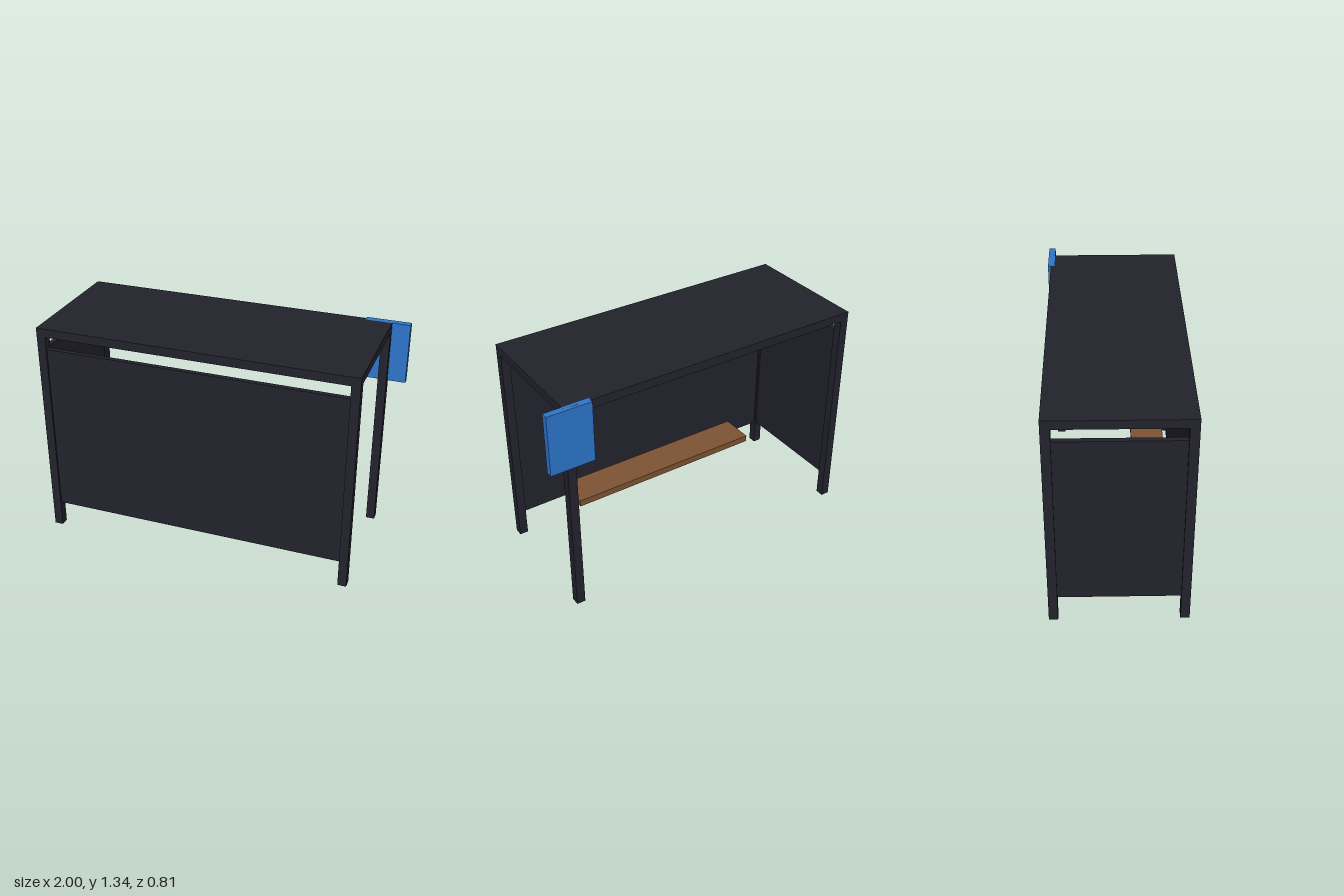
import * as THREE from 'three';

const mat = (name, color) => {
  const m = new THREE.MeshStandardMaterial({ color });
  m.name = name;
  return m;
};

export function createModel() {
  const group = new THREE.Group();
  const frame = mat('dark frame', 0x23232d);
  const blue = mat('sign blue', 0x2e77cd);
  const wood = mat('bench wood', 0x7f5434);

  // Box given by its [min, max] range on each axis
  const box = (name, material, [x0, x1], [y0, y1], [z0, z1]) => {
    const mesh = new THREE.Mesh(new THREE.BoxGeometry(x1 - x0, y1 - y0, z1 - z0), material);
    mesh.position.set((x0 + x1) / 2, (y0 + y1) / 2, (z0 + z1) / 2);
    mesh.name = name;
    group.add(mesh);
  };

  // Shelter footprint
  const X0 = -1, X1 = 0.893, Z0 = -0.385, Z1 = 0.403;
  const post = 0.052, roofBottom = 1.29, roofTop = 1.342;

  // Roof slab
  box('roof', frame, [X0, X1], [roofBottom, roofTop], [Z0, Z1]);

  // Four corner posts
  for (const x of [X0, X1 - post]) {
    for (const z of [Z0, Z1 - post]) {
      box('post', frame, [x, x + post], [0, roofBottom], [z, z + post]);
    }
  }

  // Wall panels, set between the posts
  const wallY = [0.16, 1.21], inset = 0.011;
  box('longWall', frame, [X0 + post, X1 - post], wallY, [Z1 - post + inset, Z1 - inset]);
  box('endWall', frame, [X0 + inset, X0 + post - inset], wallY, [Z0 + post, Z1 - post]);

  // Bench and sign
  box('bench', wood, [-0.687, 0.58], [0.243, 0.285], [0.116, 0.326]);
  box('sign', blue, [0.735, 1], [0.976, roofTop], [-0.403, -0.363]);

  return group;
}
